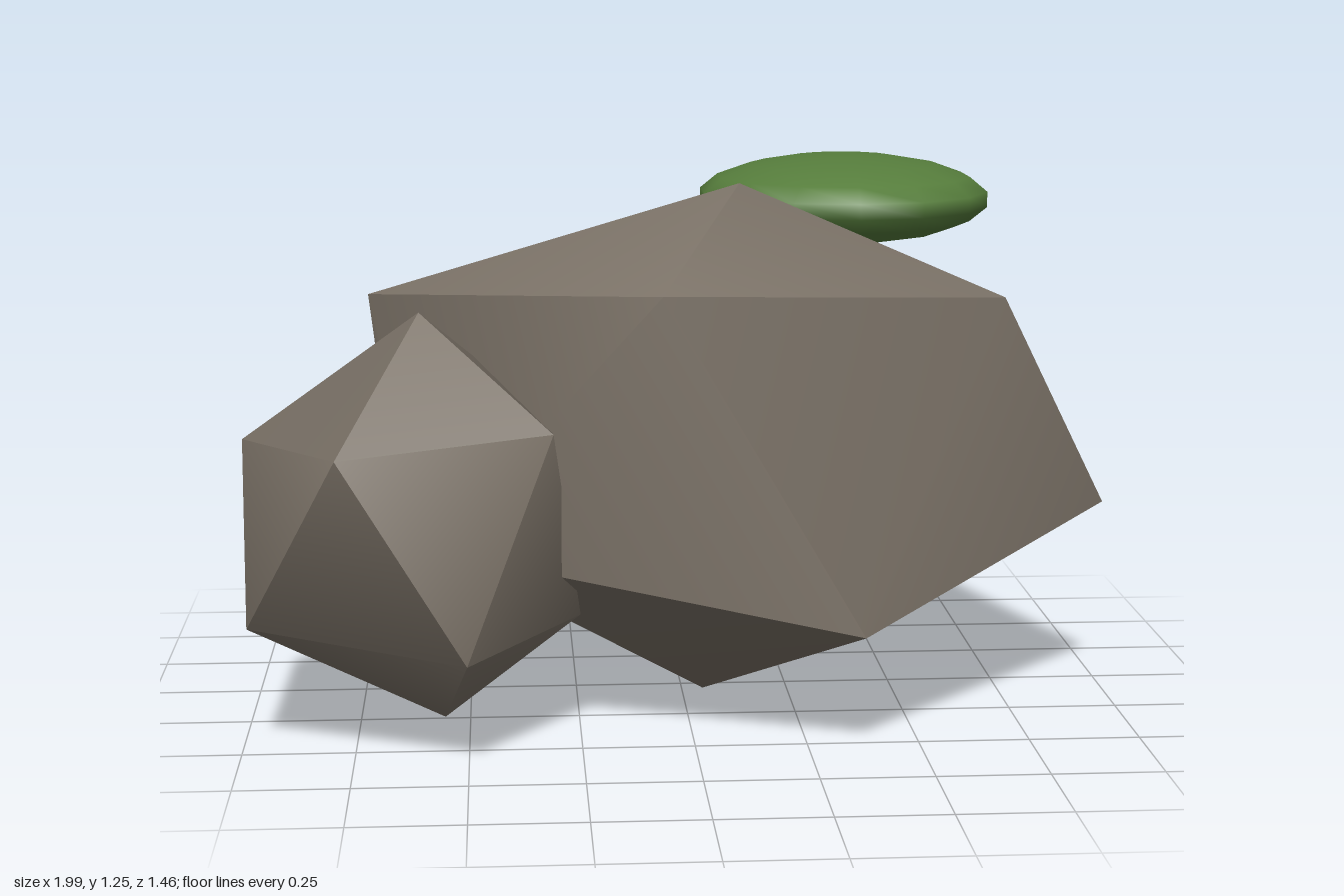
import * as THREE from 'three';
import { toCreasedNormals } from 'three/addons/utils/BufferGeometryUtils.js';

const stone = new THREE.MeshStandardMaterial({ color: 0x7c7368 });
const moss = new THREE.MeshStandardMaterial({ color: 0x567d3c });

// Twelve-cornered boulder: a top point, two staggered rings of five, a bottom point
function boulder(name, top, upper, lower, bottom) {
  const corners = [top, ...upper, ...lower, bottom];
  const index = [];
  for (let i = 0; i < 5; i++) {
    const j = (i + 1) % 5;
    const u = 1 + i, u2 = 1 + j, l = 6 + i, l2 = 6 + j;
    index.push(0, u, u2, u, l, u2, l, l2, u2, 11, l2, l);
  }
  const geo = new THREE.BufferGeometry();
  geo.setAttribute('position', new THREE.Float32BufferAttribute(corners.flat(), 3));
  geo.setIndex(index);
  const mesh = new THREE.Mesh(toCreasedNormals(geo, Math.PI / 4), stone);
  mesh.name = name;
  return mesh;
}

export function createModel() {
  const group = new THREE.Group();
  group.name = 'mossyRocks';

  // Rings run counter-clockwise seen from above, starting at the front
  group.add(boulder('largeRock',
    [0.13, 1.21, 0.08],
    [[-0.08, 1.03, 0.66], [0.70, 0.98, 0.36], [0.70, 0.89, -0.31], [-0.20, 1.0, -0.64], [-0.73, 0.94, -0.07]],
    [[0.36, 0.28, 0.645], [0.99, 0.455, 0.10], [0.31, 0.35, -0.73], [-0.68, 0.33, -0.41], [-0.58, 0.43, 0.40]],
    [0.05, 0, 0.04]));

  group.add(boulder('smallRock',
    [-0.60, 0.96, 0.37],
    [[-0.77, 0.70, 0.725], [-0.31, 0.72, 0.56], [-0.33, 0.70, 0.15], [-0.78, 0.71, 0.035], [-1.0, 0.665, 0.28]],
    [[-0.50, 0.25, 0.715], [-0.25, 0.28, 0.40], [-0.50, 0.28, 0.03], [-0.97, 0.31, 0.06], [-0.98, 0.29, 0.52]],
    [-0.555, 0.035, 0.355]));

  // Flattened moss cushion on top of the large rock
  const patch = new THREE.Mesh(new THREE.SphereGeometry(1, 14, 9), moss);
  patch.name = 'mossPatch';
  patch.scale.set(0.35, 0.105, 0.35);
  patch.rotation.y = Math.PI / 2;
  patch.position.set(0.40, 1.15, -0.17);
  group.add(patch);

  return group;
}
